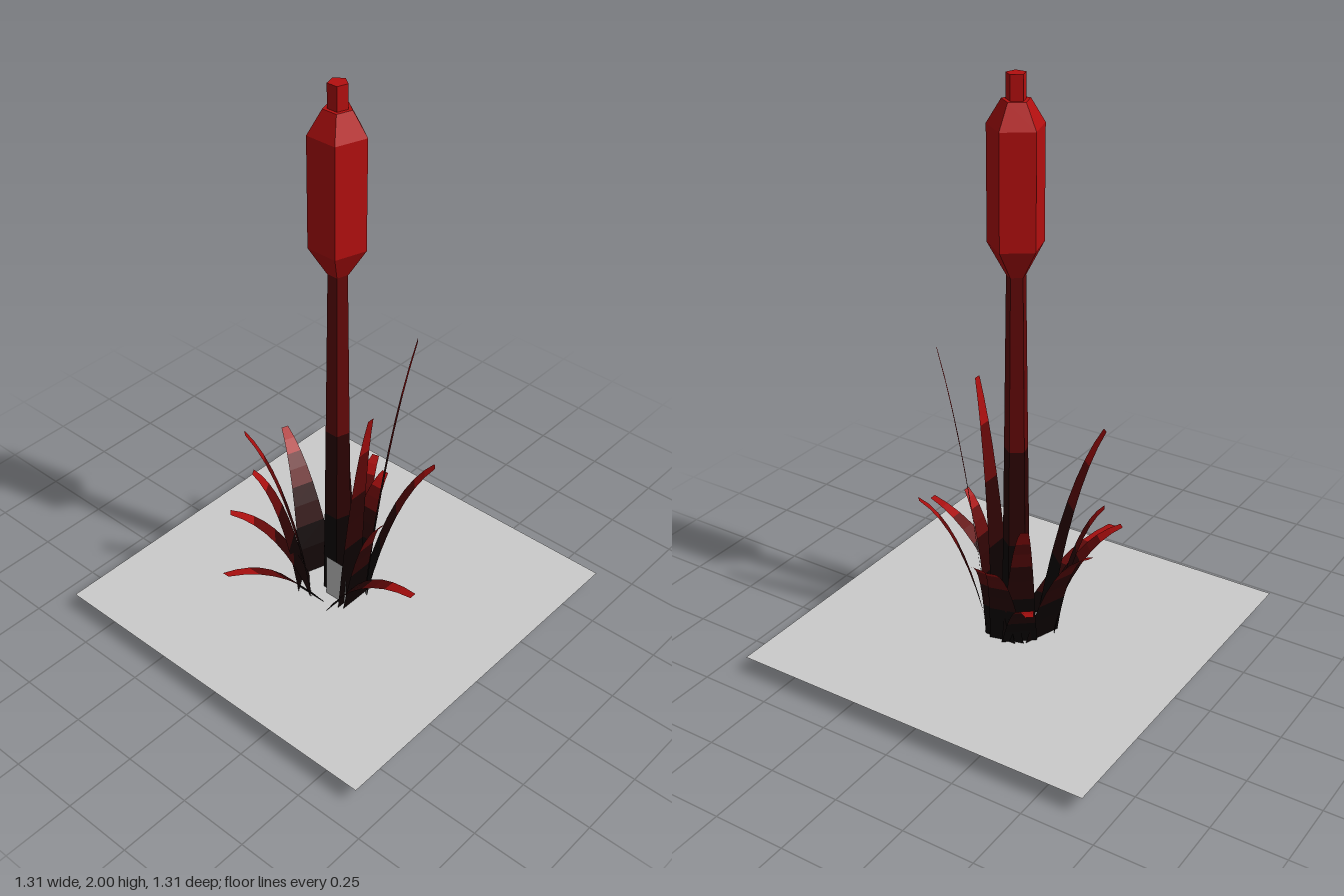
import * as THREE from 'three';

const paint = (color) => new THREE.MeshStandardMaterial({ color, flatShading: true, side: THREE.DoubleSide });
// Reds from the dark roots to the bright tips
const bands = [0x0c0101, 0x2c0303, 0x620808, 0xa80e0e].map(paint);
const red = paint(0xb40f0f);
const grey = paint(0xcccccc);

// Five-sided solid of revolution with one corner towards the back
function pentagon(name, points, material) {
  const geometry = new THREE.LatheGeometry(points.map(([r, y]) => new THREE.Vector2(r, y)), 5);
  geometry.rotateY(Math.PI);
  const mesh = new THREE.Mesh(geometry, material);
  mesh.name = name;
  return mesh;
}

// Thin tapering leaf that rises from its base and bends out to its tip
function blade({ tip, base, heading, y0 = 0.06, width = 0.12 }) {
  const [x, y, z] = tip;
  const reach = Math.hypot(x, z);
  const [bx, bz] = base ?? [x / reach * 0.1, z / reach * 0.1];
  const [hx, hz] = heading ?? [x / reach, z / reach];
  const lift = 1 - 0.38 * Math.min(1, y / 1.1);
  const curve = new THREE.QuadraticBezierCurve3(
    new THREE.Vector3(bx, y0, bz),
    new THREE.Vector3(bx + (x - bx) * 0.38, y0 + (y - y0) * lift, bz + (z - bz) * 0.38),
    new THREE.Vector3(x, y, z));
  const rows = 8, positions = [], index = [];
  for (let i = 0; i <= rows; i++) {
    const t = i / rows, p = curve.getPoint(t);
    const half = THREE.MathUtils.lerp(width, 0.026, t) / 2;
    positions.push(p.x - hz * half, p.y, p.z + hx * half, p.x + hz * half, p.y, p.z - hx * half);
    if (i < rows) {
      const a = i * 2;
      index.push(a, a + 1, a + 2, a + 1, a + 3, a + 2);
    }
  }
  const geometry = new THREE.BufferGeometry();
  geometry.setAttribute('position', new THREE.Float32BufferAttribute(positions, 3));
  geometry.setIndex(index);
  geometry.computeVertexNormals();
  bands.forEach((_, i) => geometry.addGroup(i * 12, 12, i));
  const mesh = new THREE.Mesh(geometry, bands);
  mesh.name = 'leafBlade';
  return mesh;
}

export function createModel() {
  const model = new THREE.Group();
  model.name = 'reedPlant';

  // Ground sheet
  const ground = new THREE.Mesh(new THREE.PlaneGeometry(1.31, 1.31).rotateX(-Math.PI / 2), grey);
  ground.name = 'groundSheet';
  ground.position.y = 0.06;
  model.add(ground);

  // Stalk, darker towards the root
  const stalk = new THREE.Group();
  stalk.name = 'stalk';
  const radius = (y) => 0.052 - 0.019 * y / 1.38;
  [0.06, 0.4, 0.75, 1.05, 1.38].forEach((y, i, ys) => {
    if (i === 4) return;
    const top = ys[i + 1];
    stalk.add(pentagon('stalkSection', [[radius(y), y], [radius(top), top]], bands[Math.min(i, 2)]));
  });
  model.add(stalk);

  // Seed head and the stub above it
  model.add(pentagon('seedHead',
    [[0, 1.36], [0.035, 1.36], [0.095, 1.46], [0.095, 1.84], [0.047, 1.92], [0, 1.92]], red));
  model.add(pentagon('topStub', [[0.033, 1.9], [0.033, 2], [0, 2]], red));

  // Leaves around the foot
  const leaves = new THREE.Group();
  leaves.name = 'leaves';
  [
    { tip: [0.2, 1.12, -0.155] },
    { tip: [0.2, 0.93, 0.07], base: [0.08, 0.03], heading: [1, 0] },
    { tip: [0.24, 0.59, -0.22] },
    { tip: [0.24, 0.5, 0.055], heading: [1, 0] },
    { tip: [0.44, 0.37, 0.13], base: [0.06, 0.085], heading: [1, 0], width: 0.1 },
    { tip: [-0.14, 0.3, 0.41], base: [-0.02, 0.07], heading: [0, 1], y0: 0, width: 0.13 },
    { tip: [-0.2, 0.77, 0.235] },
    { tip: [-0.26, 0.41, 0.26] },
    { tip: [-0.25, 0.53, 0.155], base: [-0.11, 0.07] },
    { tip: [-0.36, 0.51, -0.12], base: [-0.11, -0.01], width: 0.14 },
    { tip: [-0.23, 0.33, -0.28] },
    { tip: [-0.16, 0.58, -0.2] },
    { tip: [-0.07, 0.44, -0.28] },
    { tip: [0, 0.42, -0.25] },
  ].forEach((spec) => leaves.add(blade(spec)));
  model.add(leaves);

  // Small pale sheath at the foot of the stalk
  const sheath = new THREE.Mesh(new THREE.PlaneGeometry(0.09, 0.19), grey);
  sheath.name = 'sheath';
  sheath.position.set(0.045, 0.135, 0.06);
  model.add(sheath);

  return model;
}
